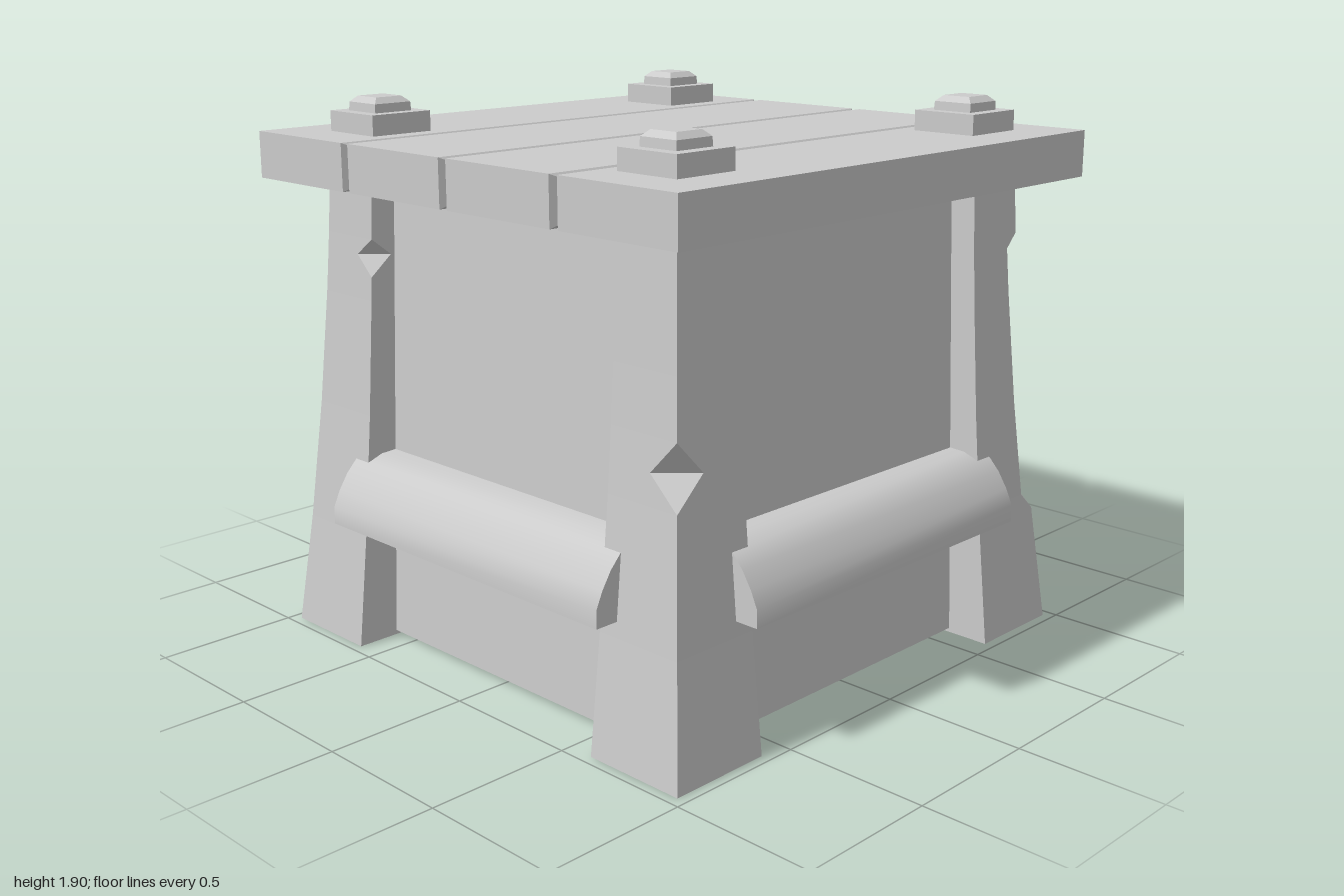
import * as THREE from 'three';
import { toCreasedNormals } from 'three/addons/utils/BufferGeometryUtils.js';
import { ConvexGeometry } from 'three/addons/geometries/ConvexGeometry.js';

const material = new THREE.MeshStandardMaterial({ color: 0xcccccc });

function add(parent, name, geometry) {
  const mesh = new THREE.Mesh(geometry, material);
  mesh.name = name;
  parent.add(mesh);
  return mesh;
}

// Flat-shaded solid through stacked rings of [x, z] points, capped at both ends
function loft(levels, flip = false) {
  const rings = levels.map(([y, ring]) => ring.map(([x, z]) => new THREE.Vector3(x, y, z)));
  const pos = [];
  const tri = (a, b, c) => {
    if (new THREE.Triangle(a, b, c).getArea() < 1e-8) return;
    for (const v of flip ? [a, c, b] : [a, b, c]) pos.push(v.x, v.y, v.z);
  };
  const n = rings[0].length;
  for (let k = 0; k < rings.length - 1; k++) {
    for (let i = 0; i < n; i++) {
      const j = (i + 1) % n, lo = rings[k], hi = rings[k + 1];
      tri(lo[i], hi[i], lo[j]);
      tri(lo[j], hi[i], hi[j]);
    }
  }
  const bottom = rings[0], top = rings[rings.length - 1];
  for (let i = 1; i < n - 1; i++) {
    tri(bottom[0], bottom[i], bottom[i + 1]);
    tri(top[0], top[i + 1], top[i]);
  }
  const g = new THREE.BufferGeometry();
  g.setAttribute('position', new THREE.Float32BufferAttribute(pos, 3));
  g.computeVertexNormals();
  return g;
}

const square = (h) => [[-h, -h], [h, -h], [h, h], [-h, h]];

// Flared leg; a cut is [bottom y, low y, high y, top y, depth] on one vertical edge
const legWidth = (y) => 0.965 - 0.118 * y + 0.0235 * y * y;
function cutDepth(y, cut) {
  if (!cut) return 0;
  const [a, b, c, d, depth] = cut;
  if (y <= a || y >= d) return 0;
  return depth * Math.min(1, (y - a) / (b - a), (d - y) / (d - c));
}
function legGeometry(sx, sz, cornerCut, innerCut) {
  const inner = 0.595;
  const ys = [0, 0.4, 0.83, 1.23, 1.63];
  for (const cut of [cornerCut, innerCut]) if (cut) ys.push(...cut.slice(0, 4));
  const levels = [...new Set(ys)].sort((a, b) => a - b).map((y) => {
    const w = legWidth(y), c = cutDepth(y, cornerCut), d = cutDepth(y, innerCut);
    const ring = [[inner, inner], [w - d, inner], [w, inner + d], [w, w - c], [w - c, w], [inner, w]];
    return [y, ring.map(([x, z]) => [x * sx, z * sz])];
  });
  return loft(levels, sx * sz < 0);
}

// Plank with chamfers only on the edges that meet a neighbour
function plankGeometry(z0, z1) {
  const pts = [];
  for (const [z, dir] of [[z0, 1], [z1, -1]]) {
    const outer = Math.abs(z) === 1;
    for (const sx of [-1, 1]) for (const [y, up] of [[1.625, 1], [1.785, -1]]) {
      if (outer) pts.push(new THREE.Vector3(sx, y, z));
      else pts.push(
        new THREE.Vector3(sx, y, z + dir * 0.018),
        new THREE.Vector3(sx * 0.95, y + up * 0.02, z),
      );
    }
  }
  return new ConvexGeometry(pts);
}

// Rounded rail, flat underneath, running along x on the +z side
function railGeometry() {
  const shape = new THREE.Shape([
    [0.74, 0.45], [1, 0.45], [1, 0.51], [0.975, 0.565], [0.94, 0.62], [0.9, 0.663], [0.84, 0.685], [0.74, 0.69],
  ].map(([x, y]) => new THREE.Vector2(x, y)));
  const g = new THREE.ExtrudeGeometry(shape, { depth: 1.33, bevelEnabled: false });
  g.translate(0, 0, -0.665);
  g.rotateY(-Math.PI / 2);
  return toCreasedNormals(g, 0.7);
}

export function createModel() {
  const model = new THREE.Group();
  model.name = 'woodenCrate';

  // Tapered body with a V groove around the lower board
  add(model, 'body', loft([
    [0.015, square(0.81)], [0.337, square(0.796)], [0.352, square(0.775)],
    [0.367, square(0.795)], [1.63, square(0.742)],
  ]));

  // Corner legs, each chipped differently
  const legs = new THREE.Group();
  legs.name = 'legs';
  model.add(legs);
  add(legs, 'frontLeftLeg', legGeometry(1, 1, [0.42, 0.48, 1.38, 1.43, 0.055]));
  add(legs, 'frontRightLeg', legGeometry(-1, 1, [0.83, 0.93, 0.93, 1.04, 0.11]));
  add(legs, 'backLeftLeg', legGeometry(1, -1, [0.4, 0.48, 0.48, 0.57, 0.085]));
  add(legs, 'backRightLeg', legGeometry(-1, -1, null, [1.31, 1.38, 1.38, 1.44, 0.08]));

  // Rails on all four sides
  const rail = railGeometry();
  ['frontRail', 'leftRail', 'backRail', 'rightRail'].forEach((name, i) => {
    add(model, name, rail).rotation.y = i * Math.PI / 2;
  });

  // Lid of four planks
  const lid = new THREE.Group();
  lid.name = 'lid';
  model.add(lid);
  const seams = [-1, -0.505, 0, 0.505, 1];
  for (let i = 0; i < 4; i++) add(lid, 'plank', plankGeometry(seams[i], seams[i + 1]));

  // Corner plates with bevelled bolt heads
  const plate = loft([[1.78, square(0.12)], [1.855, square(0.12)]]);
  const bolt = loft([[1.85, square(0.075)], [1.885, square(0.073)], [1.905, square(0.052)]]);
  for (const sx of [-1, 1]) for (const sz of [-1, 1]) {
    const fastener = new THREE.Group();
    fastener.name = 'cornerFastener';
    fastener.position.set(sx * 0.706, 0, sz * 0.706);
    add(fastener, 'plate', plate);
    add(fastener, 'boltHead', bolt);
    model.add(fastener);
  }
  return model;
}
